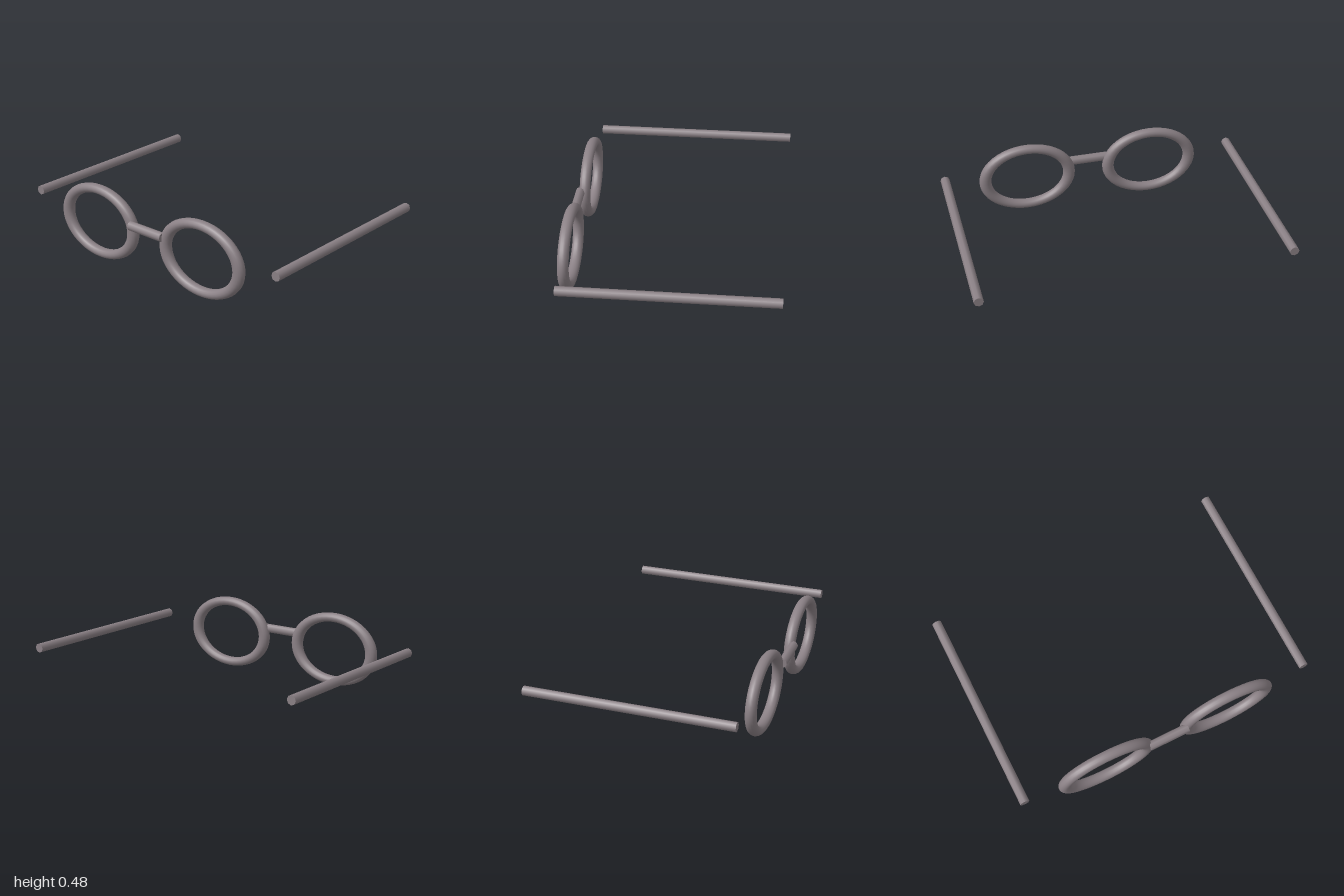
import * as THREE from 'three';

export function createModel() {
  const group = new THREE.Group();
  const frame = new THREE.MeshStandardMaterial({ color: 0x8a8085 });
  frame.name = 'warm grey frame';

  const add = (name, geometry, x, y, z) => {
    const mesh = new THREE.Mesh(geometry, frame);
    mesh.name = name;
    mesh.position.set(x, y, z);
    group.add(mesh);
    return mesh;
  };

  // Oval rims and free-standing temple arms, mirrored left and right
  const rim = new THREE.TorusGeometry(0.25, 0.035, 16, 48);
  const arm = new THREE.CylinderGeometry(0.03, 0.03, 1.31, 8).rotateX(Math.PI / 2);
  for (const [side, s] of [['left', 1], ['right', -1]]) {
    add(side + 'Rim', rim, s * 0.42, 0.2423, 0.627).scale.set(1.14, 0.85, 1);
    add(side + 'Arm', arm, s * 0.97, 0.302, -0.028);
  }

  // Nose bridge, set slightly in front of the rims
  const bridge = new THREE.CylinderGeometry(0.03, 0.03, 0.265, 8).rotateZ(Math.PI / 2);
  add('bridge', bridge, 0, 0.302, 0.653);

  return group;
}
